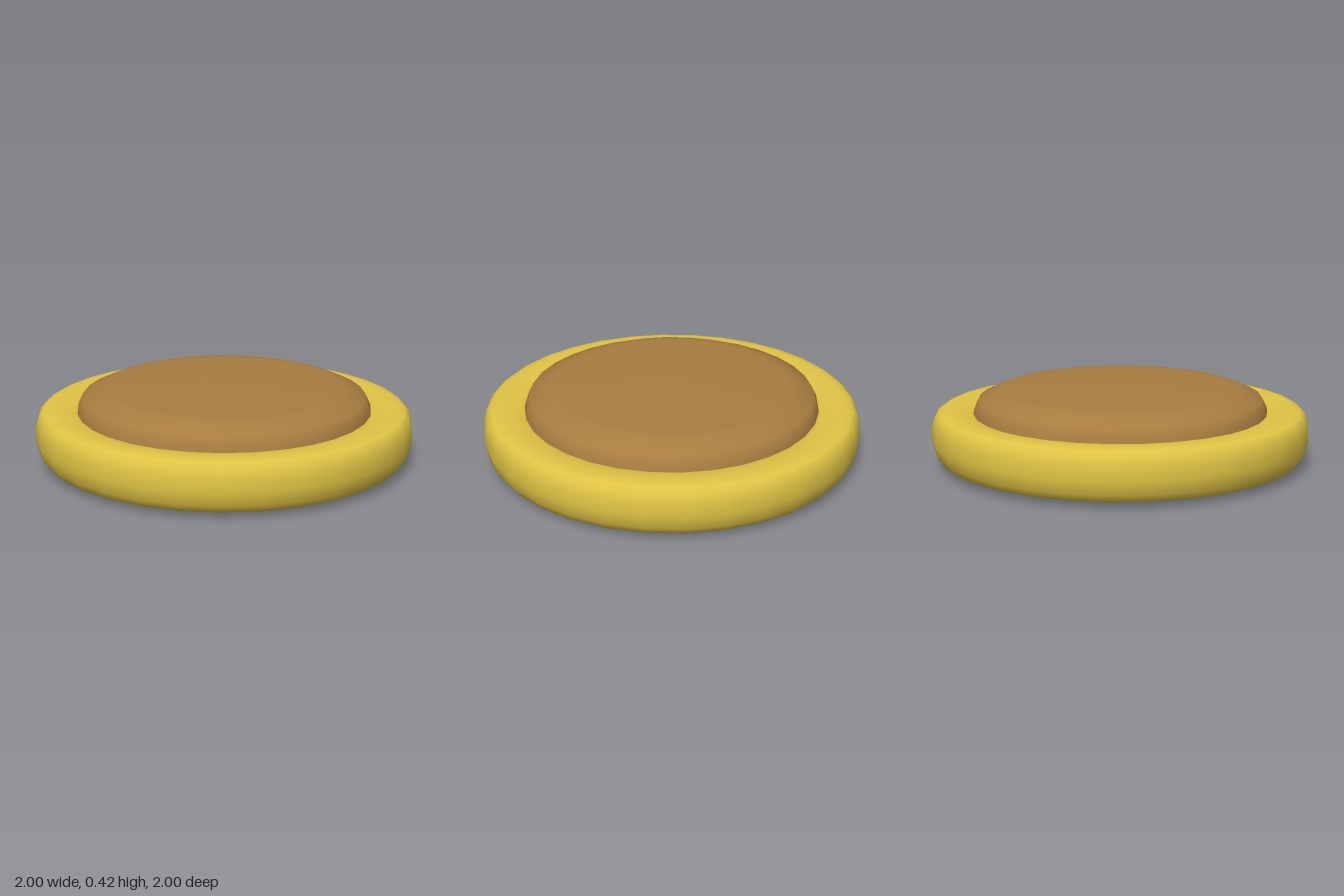
import * as THREE from 'three';

const SEGMENTS = 32;

// Smooth turned part from [radius, height] pairs, listed bottom to top
function turned(name, color, profile) {
  const points = profile.map(([r, y]) => new THREE.Vector2(r, y));
  const mesh = new THREE.Mesh(
    new THREE.LatheGeometry(points, SEGMENTS),
    new THREE.MeshStandardMaterial({ color })
  );
  mesh.name = name;
  return mesh;
}

export function createModel() {
  const group = new THREE.Group();
  group.name = 'roundButton';

  // Rounded base with a nearly flat underside and a lip dipping in to the cap
  group.add(turned('base', 0xe0c445, [
    [0, 0], [0.8, 0.014], [0.955, 0.035], [0.985, 0.075], [1, 0.14],
    [0.995, 0.21], [0.98, 0.258], [0.955, 0.278], [0.915, 0.286],
    [0.86, 0.285], [0.8, 0.274], [0.77, 0.262], [0.74, 0.24],
  ]));

  // Shallow domed cap
  group.add(turned('cap', 0xa87c40, [
    [0.785, 0.24], [0.775, 0.29], [0.75, 0.342], [0.65, 0.385],
    [0.6, 0.389], [0.3, 0.404], [0, 0.416],
  ]));

  return group;
}
